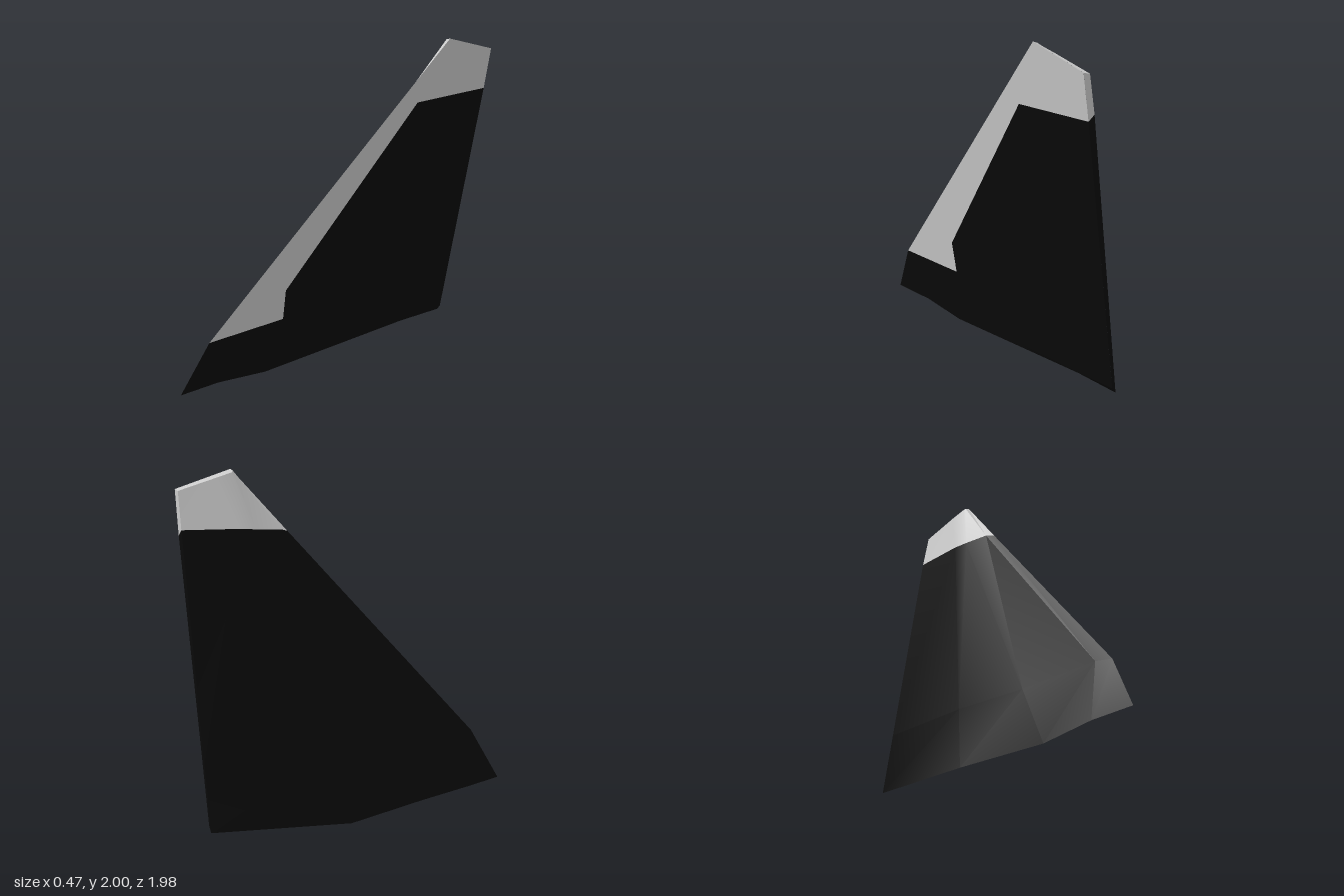
import * as THREE from 'three';
import { toCreasedNormals } from 'three/addons/utils/BufferGeometryUtils.js';

const black = new THREE.MeshStandardMaterial({ color: 0x090909 });
const grey = new THREE.MeshStandardMaterial({ color: 0xcccccc });

// Cross-sections run from the leading edge, round the bulged side, to the trailing edge.
const root = [[-0.11, 0.09, 0.99], [-0.14, 0.07, 0.74], [-0.14, 0.03, 0.4],
  [-0.24, 0, -0.14], [-0.14, 0.045, -0.96], [-0.112, 0.08, -0.96]];
const border = [[0.168, 1.65, -0.33], [0.145, 1.66, -0.38], [0.125, 1.665, -0.55],
  [0.12, 1.67, -0.65], [0.125, 1.67, -0.99], [0.166, 1.64, -0.99]];
const tip = [[0.23, 2, -0.65], [0.2, 1.99, -0.65], [0.19, 1.98, -0.66],
  [0.18, 1.95, -0.76], [0.165, 1.88, -0.99], [0.21, 1.89, -0.99]];

// Section at the kink of the leading edge
const kink = root.map((p, i) => p.map((v, k) => THREE.MathUtils.lerp(v, border[i][k], 0.23)));
kink[0] = [-0.055, 0.4, 0.82];
kink[1] = [-0.075, 0.41, 0.72];

function fromTriangles(points) {
  const geometry = new THREE.BufferGeometry();
  geometry.setAttribute('position', new THREE.Float32BufferAttribute(points.flat(), 3));
  return toCreasedNormals(geometry, 0.6);
}

// Skin between consecutive sections, open on the flat side
function skin(sections) {
  const t = [];
  for (let s = 0; s < sections.length - 1; s++) {
    const a = sections[s], b = sections[s + 1];
    for (let i = 0; i < a.length - 1; i++) {
      t.push(a[i + 1], a[i], b[i], a[i + 1], b[i], b[i + 1]);
    }
  }
  return t;
}

// Fan closing one section
function cap(section, flip) {
  const t = [], n = section.length - 1;
  for (let i = 0; i < n - 1; i++) {
    const [p, q] = flip ? [section[i + 1], section[i]] : [section[i], section[i + 1]];
    t.push(section[n], p, q);
  }
  return t;
}

// Panel on the leaning flat side, outlined in (z, y)
function flatPanel(outline) {
  const shape = new THREE.Shape(outline.map(([z, y]) => new THREE.Vector2(-z, y)));
  const geometry = new THREE.ShapeGeometry(shape).rotateY(Math.PI / 2);
  const pos = geometry.attributes.position;
  for (let i = 0; i < pos.count; i++) pos.setX(i, -0.126 + 0.178 * pos.getY(i));
  geometry.computeVertexNormals();
  return geometry;
}

export function createModel() {
  const group = new THREE.Group();
  const add = (name, geometry, material) => {
    const mesh = new THREE.Mesh(geometry, material);
    mesh.name = name;
    group.add(mesh);
  };

  // Bulged side, trailing edge and root
  add('finBody', fromTriangles([...cap(root, false), ...skin([root, kink, border])]), black);
  // Bare tip
  add('finTip', fromTriangles([...skin([border, tip]), ...cap(tip, true)]), grey);

  // Flat side: dark panel and the light leading-edge strip share a stepped seam
  const seam = [[0.82, 0.4], [0.32, 0.4], [0.32, 0.6], [-0.48, 1.64], [-0.99, 1.64]];
  add('sidePanel', flatPanel([[0.99, 0.09], ...seam, [-0.96, 0.08]]), black);
  add('leadingEdgeStrip', flatPanel([...seam, [-0.99, 1.89], [-0.65, 2]]), grey);

  return group;
}
